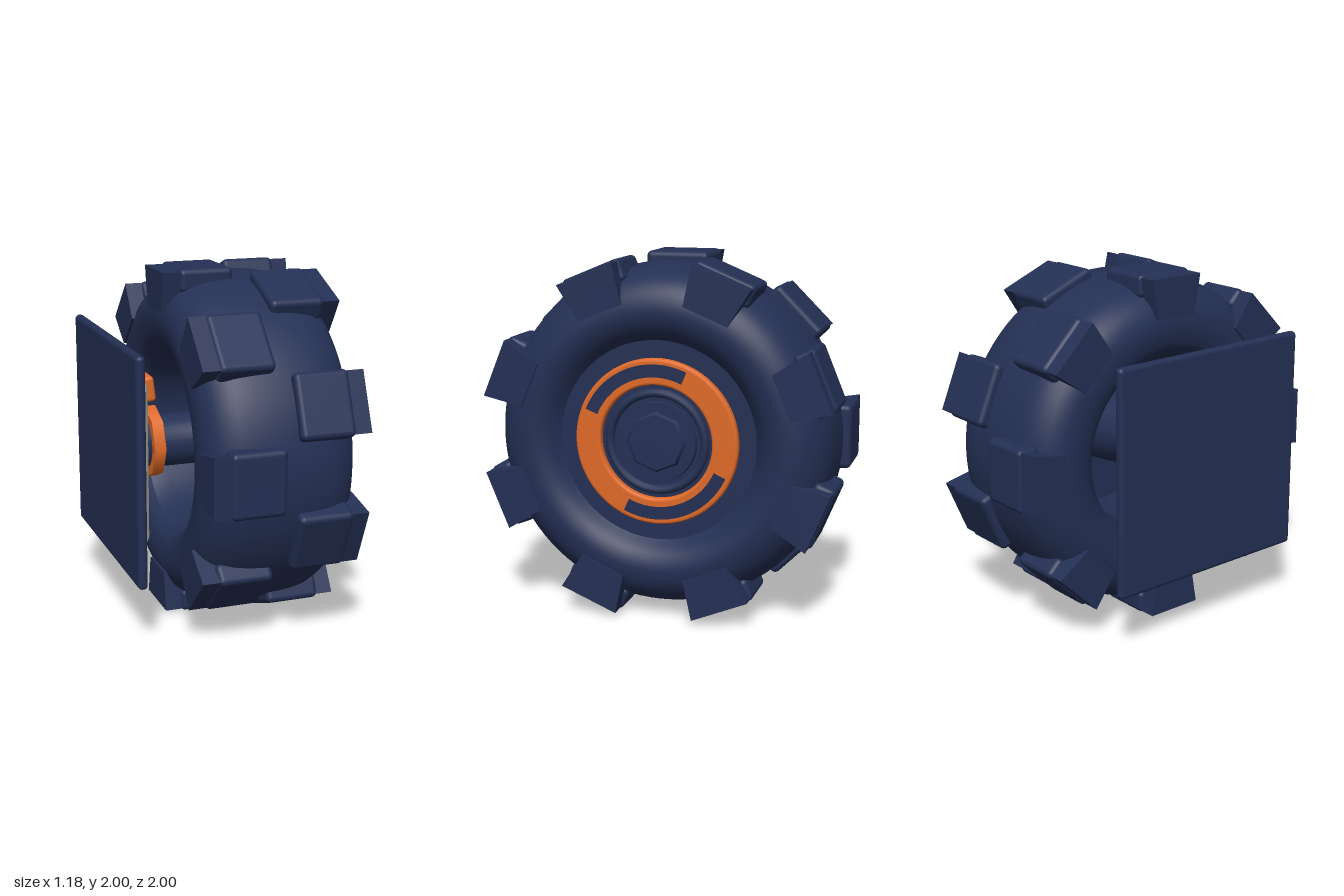
import * as THREE from 'three';
import { RoundedBoxGeometry } from 'three/addons/geometries/RoundedBoxGeometry.js';

const material = (name, color) => {
  const m = new THREE.MeshStandardMaterial({ color });
  m.name = name;
  return m;
};

export function createModel() {
  const navy = material('navy', 0x243054);
  const orange = material('orange', 0xe06a28);
  const cream = material('cream', 0xd6d2c6);
  const model = new THREE.Group();
  const wheel = new THREE.Group();
  wheel.name = 'wheel';
  wheel.position.y = 1;
  model.add(wheel);

  const add = (name, geometry, mat, parent = wheel) => {
    const mesh = new THREE.Mesh(geometry, mat);
    mesh.name = name;
    parent.add(mesh);
    return mesh;
  };
  // Profile of [radius, x] turned around the axle
  const turned = (points, sides = 72) =>
    new THREE.LatheGeometry(points.map(([r, x]) => new THREE.Vector2(r, x)), sides).rotateZ(-Math.PI / 2);
  const disc = (radius, x0, x1, sides = 48, backRadius = radius) =>
    new THREE.CylinderGeometry(radius, backRadius, x1 - x0, sides)
      .rotateZ(-Math.PI / 2).translate((x0 + x1) / 2, 0, 0);
  // Shape in the side plane, extruded along x from x0
  const sideways = (shape, x0, depth, options = {}) =>
    new THREE.ExtrudeGeometry(shape, { depth, bevelEnabled: false, curveSegments: 48, ...options })
      .rotateY(Math.PI / 2).translate(x0, 0, 0);

  // Tyre carcass
  const tyreCurve = new THREE.SplineCurve([
    [0.53, -0.2], [0.59, -0.26], [0.7, -0.285], [0.8, -0.265], [0.88, -0.2], [0.935, -0.08], [0.957, 0.15],
    [0.94, 0.37], [0.89, 0.49], [0.81, 0.56], [0.71, 0.583], [0.62, 0.55], [0.555, 0.48],
  ].map(([r, x]) => new THREE.Vector2(r, x)));
  add('tyre', turned(tyreCurve.getPoints(48).map(p => [p.x, p.y]), 96), navy);

  // Rim barrel, open at the back
  add('rimBarrel', turned([[0.555, 0.47], [0.5, 0.4], [0.5, -0.1], [0.53, -0.2]]), navy);
  add('rimFace', disc(0.556, 0.43, 0.485), navy);

  // Staggered tread: a rounded pad on the crown and a lug on the shoulder
  const padGeometry = new RoundedBoxGeometry(0.31, 0.13, 0.36, 3, 0.03).translate(0, 0.935, 0);
  const lugShape = new THREE.Shape([
    [-0.13, 0.76], [0.13, 0.76], [0.17, 0.985], [-0.17, 0.985],
  ].map(([h, y]) => new THREE.Vector2(h, y)));
  const rows = [
    { name: 'outer', padX: 0.345, lugX: 0.4, depth: 0.188, offset: 0.5 },
    { name: 'inner', padX: -0.045, lugX: -0.293, depth: 0.18, offset: 0 },
  ];
  for (const row of rows) {
    const pad = padGeometry.clone().translate(row.padX, 0, 0);
    const lug = sideways(lugShape, row.lugX, row.depth);
    for (let i = 0; i < 8; i++) {
      const block = new THREE.Group();
      block.name = row.name + 'TreadBlock';
      block.rotation.x = (i + row.offset) * Math.PI / 4;
      add('treadPad', pad, navy, block);
      add('shoulderLug', lug, navy, block);
      wheel.add(block);
    }
  }

  // Accent ring with two inlaid arcs
  const ring = new THREE.Shape().absarc(0, 0, 0.445, 0, Math.PI * 2, false);
  ring.holes.push(new THREE.Path().absarc(0, 0, 0.33, 0, Math.PI * 2, true));
  add('accentRing', sideways(ring, 0.47, 0.04,
    { bevelEnabled: true, bevelThickness: 0.015, bevelSize: 0.015, bevelSegments: 3 }), orange);
  for (const start of [66, 245]) {
    const a = THREE.MathUtils.degToRad(start), b = THREE.MathUtils.degToRad(start + 91);
    const arc = new THREE.Shape();
    arc.absarc(0, 0, 0.43, a, b, false);
    arc.absarc(0, 0, 0.36, b, a, true);
    add('ringInlay', sideways(arc, 0.522, 0.008), navy);
  }

  // Hub
  add('hubCollar', new THREE.TorusGeometry(0.27, 0.025, 10, 64)
    .rotateY(Math.PI / 2).translate(0.49, 0, 0), navy);
  add('hubStep', disc(0.22, 0.44, 0.505, 48, 0.235), navy);
  add('hubCap', disc(0.155, 0.5, 0.525, 8, 0.172).toNonIndexed(), navy);

  // Axle and its nut
  add('axle', turned([[0, -0.44], [0.165, -0.44], [0.165, -0.42], [0.15, -0.37], [0.15, 0], [0.2, 0.2],
    [0.22, 0.44]], 32), navy);
  add('axleNut', disc(0.21, -0.36, -0.295, 8), orange).material.name = 'orange';

  // Mounting plate
  const mount = new THREE.Group();
  mount.name = 'mount';
  mount.position.y = 1;
  model.add(mount);
  add('backPlate', new RoundedBoxGeometry(0.054, 1.28, 1.28, 4, 0.025).translate(-0.566, 0, 0), navy, mount);

  // Pillow panel: flat against the plate, its corners falling away
  const pillow = new RoundedBoxGeometry(0.2, 1.03, 1.03, 5, 0.0999).translate(-0.52, 0, 0);
  const p = pillow.attributes.position;
  for (let i = 0; i < p.count; i++) {
    const drop = 1.5 * (p.getY(i) * p.getZ(i)) ** 2;
    p.setX(i, Math.max(p.getX(i) - drop, -0.56));
  }
  add('panel', pillow, cream, mount);

  // Details on the panel
  for (const side of [-1, 1]) {
    const light = add('panelLight', new RoundedBoxGeometry(0.055, 0.14, 0.19, 3, 0.02), orange, mount);
    light.position.set(-0.44, 0.4, side * 0.295);
    light.rotation.z = 0.12;
  }
  add('panelSlot', new THREE.BoxGeometry(0.03, 0.075, 0.5).translate(-0.433, -0.39, 0), navy, mount);

  return model;
}
